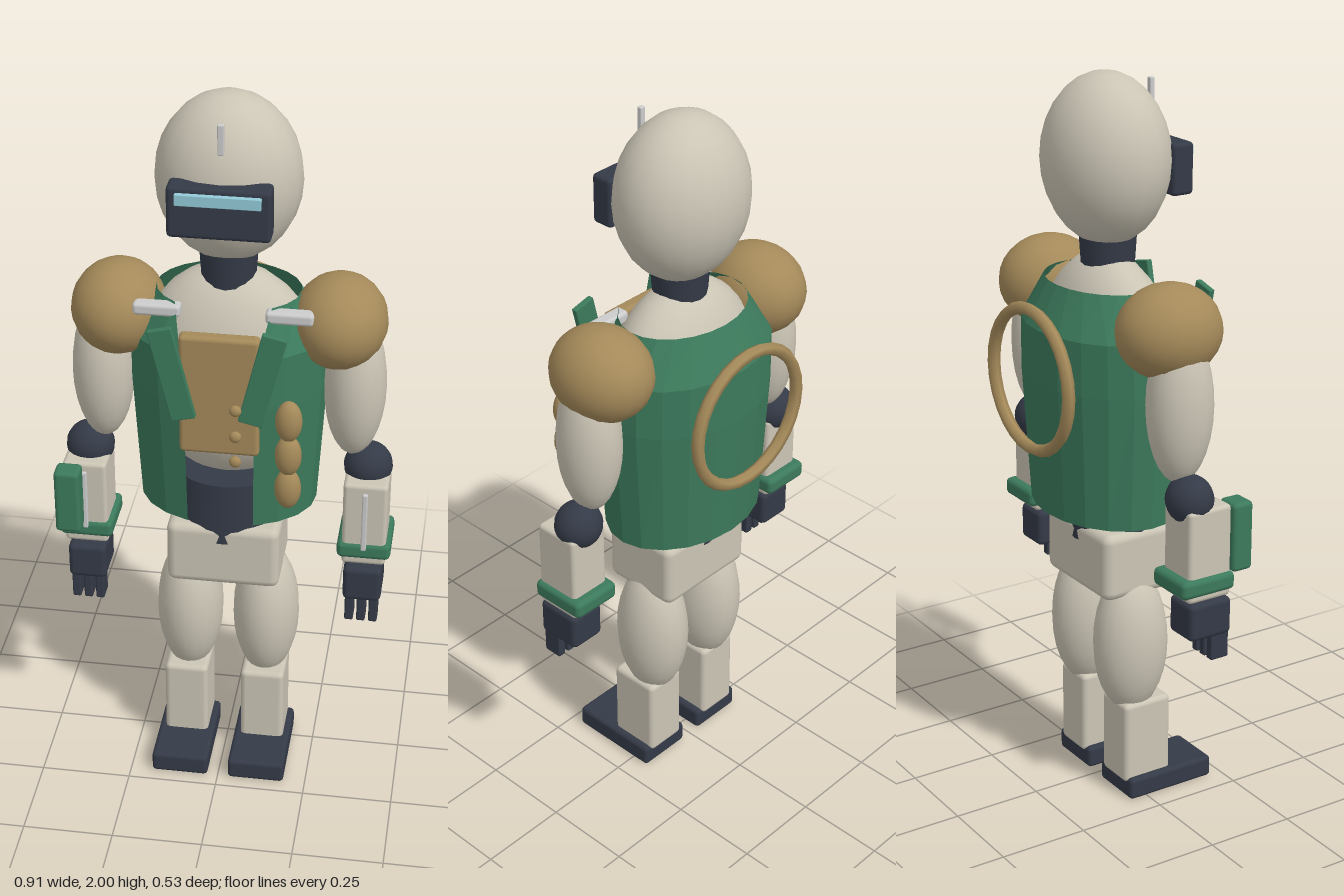
import * as THREE from 'three';
import { RoundedBoxGeometry } from 'three/addons/geometries/RoundedBoxGeometry.js';

const mat = (color, extra = {}) => {
  const m = new THREE.MeshStandardMaterial({ color });
  return Object.assign(m, extra);
};
const bone = mat(0xcbc5b5), tan = mat(0xa58a5a), green = mat(0x3c7a5c);
const dark = mat(0x343a47), cyan = mat(0x93cbd8), grey = mat(0xcccccc);
const cloth = mat(0x3c7a5c, { side: THREE.DoubleSide, flatShading: true });

export function createModel() {
  const root = new THREE.Group();

  const add = (name, geometry, material, [x, y, z], parent = root) => {
    const mesh = new THREE.Mesh(geometry, material);
    mesh.name = name;
    mesh.position.set(x, y, z);
    parent.add(mesh);
    return mesh;
  };
  const box = (name, size, pos, material, parent, radius = 0.012) =>
    add(name, new RoundedBoxGeometry(...size, 2, Math.min(radius, Math.min(...size) * 0.3)), material, pos, parent);
  const ellipsoid = (name, radii, pos, material, parent) =>
    add(name, new THREE.SphereGeometry(1, 20, 14).scale(...radii), material, pos, parent);

  // Head, visor and antenna
  const head = new THREE.Group();
  head.name = 'head';
  root.add(head);
  ellipsoid('skull', [0.19, 0.225, 0.163], [0, 1.775, -0.017], bone, head);
  box('visor', [0.262, 0.138, 0.065], [0, 1.75, 0.138], dark, head);
  box('visorLight', [0.215, 0.03, 0.02], [0, 1.79, 0.173], cyan, head, 0.002);
  box('antenna', [0.016, 0.08, 0.014], [0, 1.93, 0.122], grey, head, 0.003);
  add('neck', new THREE.CylinderGeometry(0.078, 0.07, 0.12, 16), dark, [0, 1.53, -0.01]);

  // Torso core
  ellipsoid('torso', [0.25, 0.31, 0.155], [0, 1.22, -0.015], bone);
  add('abdomen', new THREE.CylinderGeometry(0.14, 0.15, 0.18, 20).scale(1, 1, 0.78), dark, [0, 0.83, 0]);
  box('pelvis', [0.31, 0.19, 0.23], [0, 0.695, 0], bone, root, 0.025);

  // Open vest: rings of [y, radius x, radius z, half of the front gap]
  const rings = [
    [1.46, 0.19, 0.145, 0.125],
    [1.345, 0.262, 0.203, 0.1],
    [1.2, 0.262, 0.203, 0.092],
    [0.83, 0.24, 0.18, 0.088],
  ];
  const around = 18;
  const vest = new THREE.PlaneGeometry(1, 1, around, rings.length - 1);
  rings.forEach(([y, rx, rz, gap], row) => {
    const start = Math.asin(gap / rx);
    for (let i = 0; i <= around; i++) {
      const a = start + (i / around) * (2 * Math.PI - 2 * start);
      vest.attributes.position.setXYZ(row * (around + 1) + i, rx * Math.sin(a), y, rz * Math.cos(a) - 0.022);
    }
  });
  vest.computeVertexNormals();
  add('vest', vest, cloth, [0, 0, 0]);

  // Chest panel with buttons, pouch string and the ring on the back
  box('chestPanel', [0.21, 0.345, 0.04], [0, 1.2325, 0.15], tan);
  for (const y of [1.225, 1.147, 1.072]) ellipsoid('button', [0.016, 0.016, 0.011], [0.05, y, 0.215], tan);
  for (const y of [1.217, 1.115, 1.015]) ellipsoid('pouch', [0.035, 0.058, 0.031], [0.19, y, 0.232], tan);
  add('backRing', new THREE.TorusGeometry(0.19, 0.017, 6, 28), tan, [0, 1.217, -0.25]);

  // Paired parts
  for (const s of [1, -1]) {
    const side = s > 0 ? 'left' : 'right';

    const lapel = box(side + 'Lapel', [0.065, 0.265, 0.017], [s * 0.117, 1.31, 0.198], green, root, 0.003);
    lapel.rotation.z = -s * 0.235;
    box(side + 'ShoulderClip', [0.125, 0.034, 0.04], [s * 0.172, 1.438, 0.085], grey);

    // Arm
    const arm = new THREE.Group();
    arm.name = side + 'Arm';
    root.add(arm);
    ellipsoid('shoulderPad', [0.126, 0.125, 0.144], [s * 0.291, 1.386, -0.014], tan, arm);
    ellipsoid('upperArm', [0.083, 0.21, 0.09], [s * 0.337, 1.2, -0.01], bone, arm);
    ellipsoid('elbow', [0.066, 0.066, 0.063], [s * 0.38, 0.957, -0.006], dark, arm);
    box('forearm', [0.12, 0.255, 0.132], [s * 0.382, 0.817, 0.02], bone, arm);
    box('forearmStrip', [0.015, 0.18, 0.014], [s * 0.382, 0.83, 0.088], grey, arm);
    box('cuff', [0.146, 0.05, 0.165], [s * 0.382, 0.735, 0.01], green, arm, 0.015);
    box('hand', [0.105, 0.105, 0.13], [s * 0.382, 0.627, 0.032], dark, arm, 0.015);
    for (const dx of [-0.033, 0, 0.033])
      box('finger', [0.024, 0.085, 0.055], [s * 0.382 + dx, 0.548, 0.065], dark, arm, 0.005);

    // Leg
    const leg = new THREE.Group();
    leg.name = side + 'Leg';
    root.add(leg);
    ellipsoid('thigh', [0.093, 0.21, 0.107], [s * 0.108, 0.45, -0.007], bone, leg);
    box('shin', [0.123, 0.24, 0.148], [s * 0.109, 0.165, 0.013], bone, leg, 0.015);
    box('foot', [0.16, 0.062, 0.27], [s * 0.109, 0.031, 0.08], dark, leg);
  }

  // Control box on the right forearm
  box('forearmBox', [0.07, 0.19, 0.062], [-0.42, 0.85, 0.114], green);

  return root;
}
